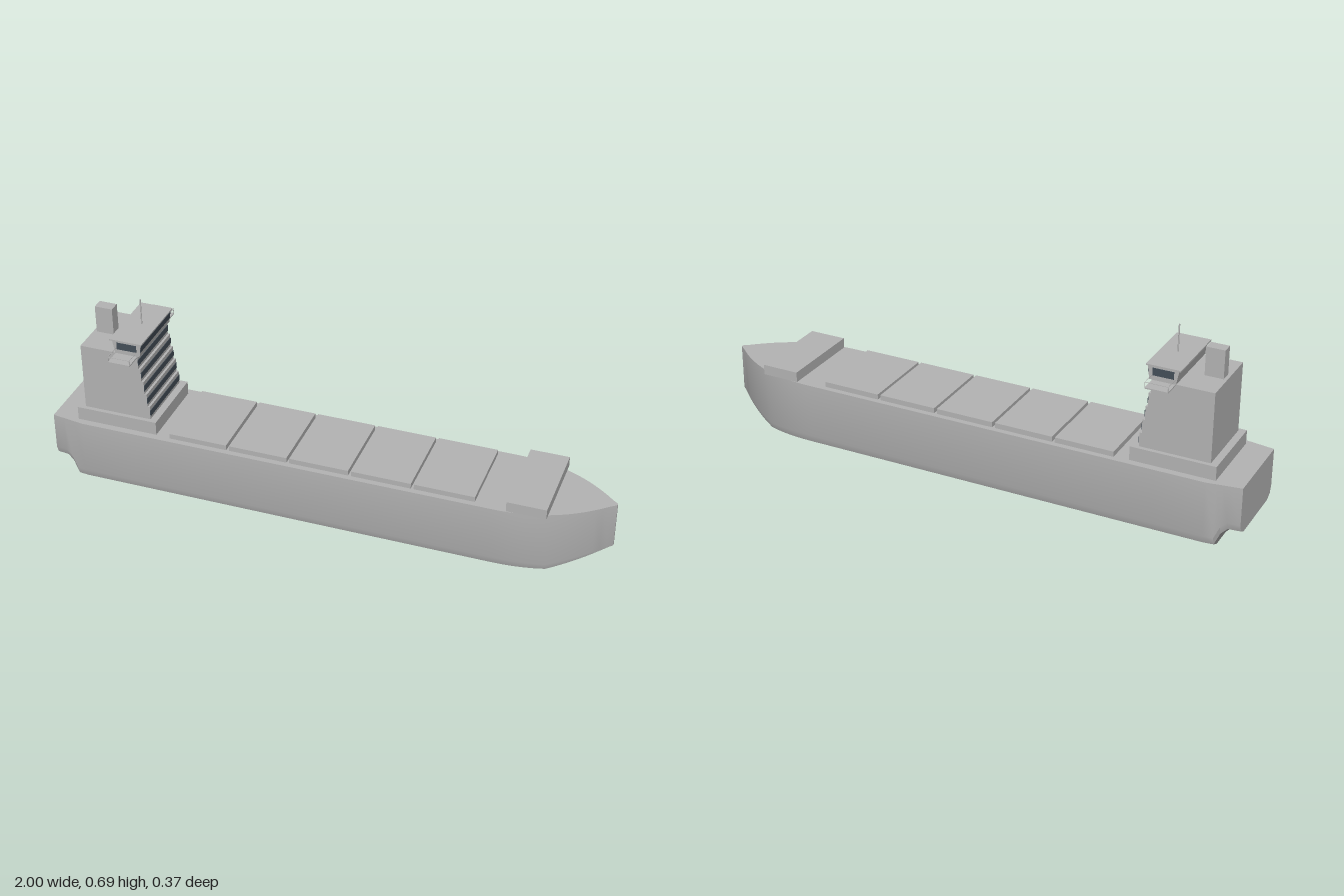
import * as THREE from 'three';
import { toCreasedNormals } from 'three/addons/utils/BufferGeometryUtils.js';

const DECK = 0.243, HALF = 0.165;

export function createModel() {
  const ship = new THREE.Group();
  ship.name = 'cargoShip';
  const grey = new THREE.MeshStandardMaterial({ name: 'paintGrey', color: 0xb3b3b3 });
  const glass = new THREE.MeshStandardMaterial({ name: 'windowSlate', color: 0x444e58 });

  const add = (name, geometry, material = grey) => {
    const mesh = new THREE.Mesh(geometry, material);
    mesh.name = name;
    ship.add(mesh);
    return mesh;
  };
  // Box given by its extents on each axis
  const box = (name, [x0, x1], [y0, y1], [z0, z1], material) => {
    const mesh = add(name, new THREE.BoxGeometry(x1 - x0, y1 - y0, z1 - z0), material);
    mesh.position.set((x0 + x1) / 2, (y0 + y1) / 2, (z0 + z1) / 2);
    return mesh;
  };
  const both = (w) => [-w, w];

  add('hull', hullGeometry());

  // Cargo hatches and forecastle
  for (let i = 0; i < 5; i++) {
    const x = -0.446 + i * 0.2225;
    box('hatchCover', [x - 0.106, x + 0.106], [DECK, 0.262], both(0.145));
  }
  box('forecastle', [0.66, 0.797], [DECK, 0.28], both(0.16));

  // Deckhouse: plinth, five stepped tiers with a window band each
  box('deckhouseBase', [-0.905, -0.605], [DECK, 0.293], both(0.14));
  for (let i = 0; i < 5; i++) {
    const y = 0.293 + i * 0.05, front = -0.631 - i * 0.0085;
    box('deckhouseTier', [-0.88, front], [y, y + 0.05], both(0.125));
    box('tierWindows', [front, front + 0.002], [y + 0.013, y + 0.035], both(0.125), glass);
  }

  // Bridge with outward leaning ends
  const bridgeShape = new THREE.Shape([
    [-0.748, 0.543], [-0.656, 0.543], [-0.65, 0.592], [-0.757, 0.592],
  ].map(([x, y]) => new THREE.Vector2(x, y)));
  const bridge = new THREE.ExtrudeGeometry(bridgeShape, { depth: 0.25, bevelEnabled: false });
  bridge.translate(0, 0, -0.125);
  add('bridge', bridge);
  const frontWindow = box('bridgeFrontWindow', [-0.654, -0.651], [0.56, 0.585], both(0.124), glass);
  frontWindow.rotation.z = -Math.atan2(0.006, 0.049);
  box('bridgeRoof', [-0.765, -0.645], [0.592, 0.597], both(0.131));

  for (const s of [-1, 1]) {
    const side = (a, b) => (s > 0 ? [a, b] : [-b, -a]);
    box('bridgeSideWindow', [-0.74, -0.667], [0.559, 0.585], side(0.125, 0.127), glass);
    // Bridge wing with open rails
    box('bridgeWing', [-0.746, -0.666], [0.538, 0.542], side(0.12, 0.187));
    box('wingEndRail', [-0.746, -0.666], [0.56, 0.5615], side(0.1855, 0.187));
    for (const x of [-0.746, -0.6675]) {
      box('wingSideRail', [x, x + 0.0015], [0.56, 0.5615], side(0.125, 0.187));
      box('wingPost', [x, x + 0.0015], [0.542, 0.56], side(0.1855, 0.187));
    }
  }

  // Funnel and mast
  box('funnel', [-0.868, -0.803], [0.543, 0.644], both(0.02));
  const mast = add('mast', new THREE.CylinderGeometry(0.0025, 0.0025, 0.097, 8));
  mast.position.set(-0.702, 0.6445, 0);

  return ship;
}

// Hull lofted from chamfered cross-sections along x
function hullGeometry() {
  const stations = [-1, -0.957, -0.935, -0.915, -0.88, -0.7, 0, 0.6];
  for (let i = 1; i <= 20; i++) stations.push(0.6 + i * 0.02);

  const halfWidth = (x) => {
    if (x > 0.6) return Math.max(0.004, HALF * (1 - ((x - 0.6) / 0.4) ** 2.4));
    return x < -0.88 ? HALF - 0.018 * (-0.88 - x) / 0.12 : HALF;
  };
  const bottom = (x) => {
    if (x > 0.8) return 0.075 * (x - 0.8) / 0.2;
    if (x < -0.95) return 0.067;
    return x < -0.92 ? 0.045 : 0;
  };

  const rings = stations.map((x) => {
    const w = halfWidth(x), b = bottom(x), s = w / HALF;
    const half = [
      [w, DECK], [w, b + 0.044 * s], [w - 0.01 * s, b + 0.015 * s], [w - 0.04 * s, b],
    ];
    const mirrored = half.map(([z, y]) => [-z, y]).reverse();
    return [...half, ...mirrored].map(([z, y]) => [x, y, z]);
  });

  const pos = [];
  const tri = (a, b, c) => pos.push(...a, ...b, ...c);
  const n = rings[0].length;
  for (let i = 0; i < rings.length - 1; i++) {
    for (let j = 0; j < n; j++) {
      const k = (j + 1) % n, p = rings[i], q = rings[i + 1];
      tri(p[j], p[k], q[k]);
      tri(p[j], q[k], q[j]);
    }
  }
  // Transom and stem
  const stern = rings[0], bow = rings[rings.length - 1];
  for (let j = 1; j < n - 1; j++) {
    tri(stern[0], stern[j + 1], stern[j]);
    tri(bow[0], bow[j], bow[j + 1]);
  }
  const geometry = new THREE.BufferGeometry();
  geometry.setAttribute('position', new THREE.Float32BufferAttribute(pos, 3));
  return toCreasedNormals(geometry, 0.5);
}
